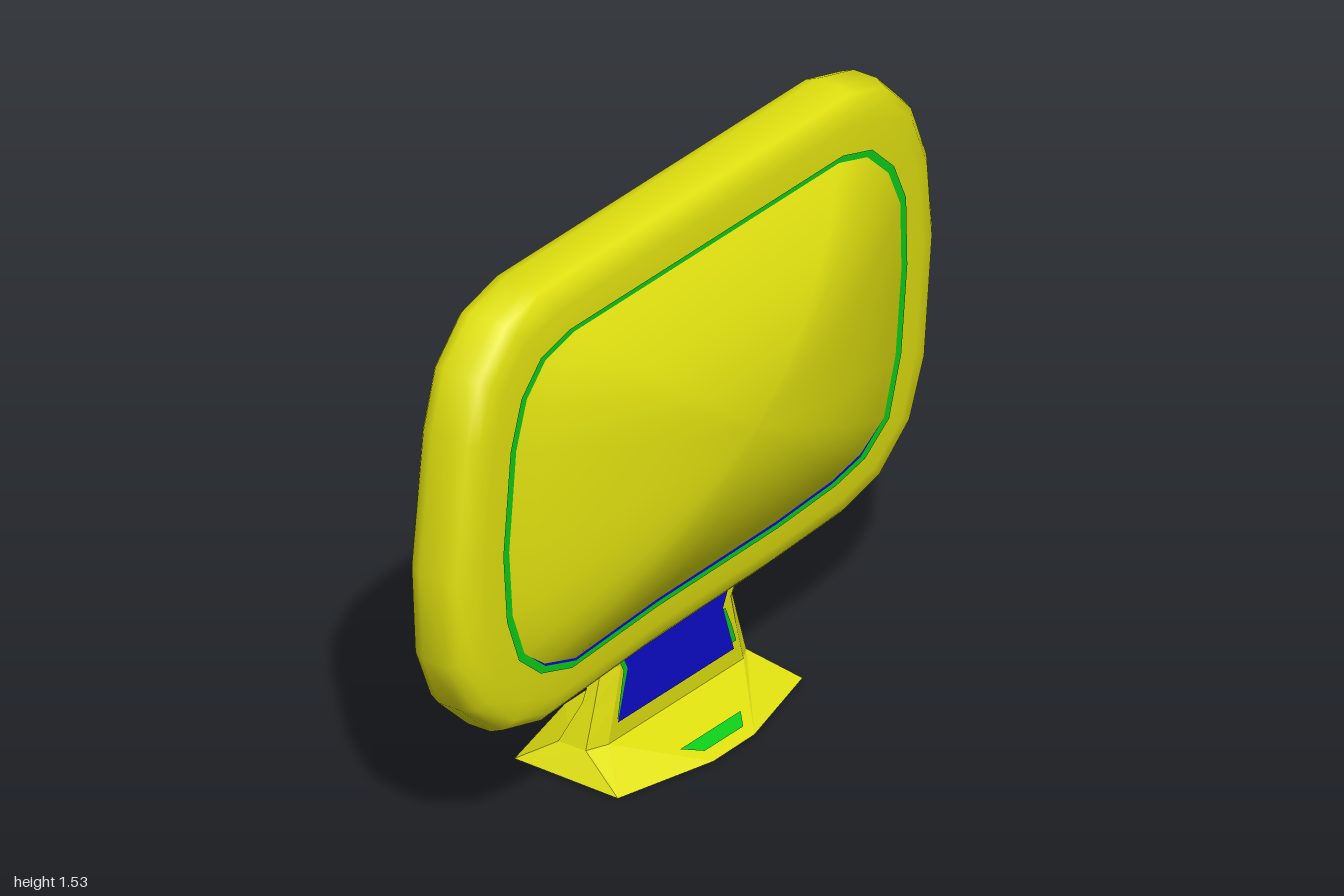
import * as THREE from 'three';

const YELLOW = 0xe0e010, GREEN = 0x0dcc1a, BLUE = 0x0d0dcc;

// Outlines of the casing and of the screen opening, matched point for point
const outer = [
  [-0.64, 1.53], [0.65, 1.53], [0.8, 1.49], [0.91, 1.38], [0.975, 1.22], [1, 1], [0.965, 0.65],
  [0.9, 0.5], [0.77, 0.39], [0.62, 0.35], [0.3, 0.335], [-0.2, 0.325], [-0.64, 0.3], [-0.8, 0.34],
  [-0.92, 0.45], [-0.985, 0.6], [-1, 0.85], [-0.95, 1.22], [-0.9, 1.38], [-0.79, 1.49],
].reverse();
const inner = [
  [-0.56, 1.39], [0.57, 1.39], [0.69, 1.355], [0.78, 1.27], [0.83, 1.16], [0.835, 0.97], [0.81, 0.73],
  [0.76, 0.57], [0.66, 0.5], [0.54, 0.475], [0.3, 0.46], [-0.2, 0.455], [-0.55, 0.435], [-0.68, 0.475],
  [-0.77, 0.55], [-0.82, 0.68], [-0.835, 0.87], [-0.805, 1.15], [-0.76, 1.28], [-0.68, 1.36],
].reverse();
const MID_Y = 0.92;

function addMesh(group, name, geometry, color, options = {}) {
  const mesh = new THREE.Mesh(geometry, new THREE.MeshStandardMaterial({ color, ...options }));
  mesh.name = name;
  group.add(mesh);
}

function build(positions, index) {
  const g = new THREE.BufferGeometry();
  g.setAttribute('position', new THREE.Float32BufferAttribute(positions, 3));
  g.setIndex(index);
  g.computeVertexNormals();
  return g;
}

// Skin over a series of closed rings
function loft(rings) {
  const n = rings[0].length, index = [];
  for (let i = 0; i < rings.length - 1; i++) {
    for (let j = 0; j < n; j++) {
      const a = i * n + j, b = i * n + (j + 1) % n;
      index.push(a, b, b + n, a, b + n, a + n);
    }
  }
  return build(rings.flat(2), index);
}

// Strip of rows [y, left x, right x, z]
function panel(rows) {
  const index = [];
  for (let i = 0; i < rows.length - 1; i++) {
    const a = 2 * i;
    index.push(a, a + 2, a + 3, a, a + 3, a + 1);
  }
  return build(rows.flatMap(([y, l, r, z]) => [l, y, z, r, y, z]), index);
}

// Ring between the casing outline (t = 0) and the opening (t = 1)
const blendRing = (t, z) => outer.map(([x, y], i) =>
  [x + (inner[i][0] - x) * t, y + (inner[i][1] - y) * t, z]);

// Opening outline scaled about its middle
const scaledRing = (s, z, points = inner) => points.map(([x, y]) => [x * s, MID_Y + (y - MID_Y) * s, z]);

// Eight-sided neck section
function neckRing([y, left, right, front, back, faceHalf]) {
  const f = front - 0.025, b = back + 0.012;
  return [
    [right, y, f], [right, y, b], [faceHalf, y, back], [-faceHalf, y, back],
    [left, y, b], [left, y, f], [-faceHalf, y, front], [faceHalf, y, front],
  ];
}

export function createModel() {
  const model = new THREE.Group();
  model.name = 'displayOnStand';

  // Casing with rounded rim and flat back
  const rim = [
    [0.36, -0.09], [0.22, -0.085], [0.08, -0.068], [0, -0.035], [0, 0.035],
    [0.08, 0.068], [0.25, 0.088], [0.55, 0.096], [1.03, 0.1],
  ];
  const casing = new THREE.Group();
  casing.name = 'casing';
  model.add(casing);
  addMesh(casing, 'casingRim', loft(rim.map(([t, z]) => blendRing(t, z))), YELLOW);
  const backEdge = blendRing(0.36, -0.09);
  addMesh(casing, 'casingBack', loft([backEdge.map(() => [0, MID_Y, -0.09]), backEdge]), YELLOW);

  // Domed screen, lifted a little along its lower edge
  const screenEdge = inner.map(([x, y]) => [x * 0.975, MID_Y + (y - MID_Y) * 0.975 + (y < 0.51 ? 0.008 : 0)]);
  const steps = 12, dome = [];
  for (let i = 0; i <= steps; i++) {
    const s = 1 - i / steps;
    dome.push(scaledRing(s, 0.102 + 0.16 * (1 - s * s), screenEdge));
  }
  addMesh(model, 'screen', loft(dome), YELLOW);

  // Trim around the screen and the gap under it
  addMesh(model, 'screenTrim', loft([scaledRing(1.002, 0.103), scaledRing(0.973, 0.103)]), GREEN);
  addMesh(model, 'screenGap', loft([scaledRing(0.978, 0.102), scaledRing(0.95, 0.102)]), BLUE);

  // Stand: waisted neck flowing into a wide foot
  const stand = new THREE.Group();
  stand.name = 'stand';
  model.add(stand);
  const footEdge = [
    [0.38, 0.12], [0.38, -0.2], [0.08, -0.265], [-0.09, -0.265],
    [-0.385, -0.2], [-0.385, 0.12], [-0.09, 0.195], [0.08, 0.195],
  ].map(([x, z]) => [x, 0.008 + 0.012 * x - 0.03 * z, z]);
  const neck = [
    [0.072, -0.34, 0.325, 0.012, -0.11, 0.28],
    [0.18, -0.305, 0.29, 0.012, -0.062, 0.25],
    [0.27, -0.278, 0.262, 0.012, -0.05, 0.228],
    [0.305, -0.32, 0.305, 0.012, -0.05, 0.245],
    [0.345, -0.39, 0.37, 0.015, -0.05, 0.26],
  ].map(neckRing);
  const flat = { flatShading: true };
  addMesh(stand, 'foot', loft([footEdge.map(() => [0, 0.004, 0]), footEdge, neck[0]]), YELLOW, flat);
  addMesh(stand, 'neck', loft(neck), YELLOW, flat);

  // Inlays on the neck and foot
  const thin = { side: THREE.DoubleSide };
  addMesh(stand, 'neckFrontPanel', panel([
    [0.335, -0.245, 0.225, 0.018], [0.255, -0.205, 0.19, 0.016], [0.12, -0.245, 0.235, 0.016],
  ]), BLUE, thin);
  addMesh(stand, 'leftNeckStrip', panel([
    [0.25, 0.19, 0.2, 0.016], [0.19, 0.21, 0.227, 0.016], [0.14, 0.227, 0.245, 0.016],
  ]), GREEN, thin);
  addMesh(stand, 'rightNeckStrip', panel([
    [0.31, -0.25, -0.232, 0.017], [0.255, -0.222, -0.205, 0.016], [0.13, -0.247, -0.24, 0.016],
  ]), GREEN, thin);
  addMesh(stand, 'neckBackPanel', panel([
    [0.205, -0.235, 0.235, -0.063], [0.27, -0.22, 0.22, -0.054], [0.33, -0.24, 0.24, -0.054],
  ]), GREEN, thin);
  addMesh(stand, 'neckBackLine', panel([
    [0.18, -0.24, 0.24, -0.066], [0.19, -0.24, 0.24, -0.065],
  ]), GREEN, thin);
  addMesh(stand, 'footInlay', panel([
    [0.036, -0.14, 0.11, 0.13], [0.022, -0.09, 0.07, 0.168],
  ]), GREEN, thin);

  return model;
}
